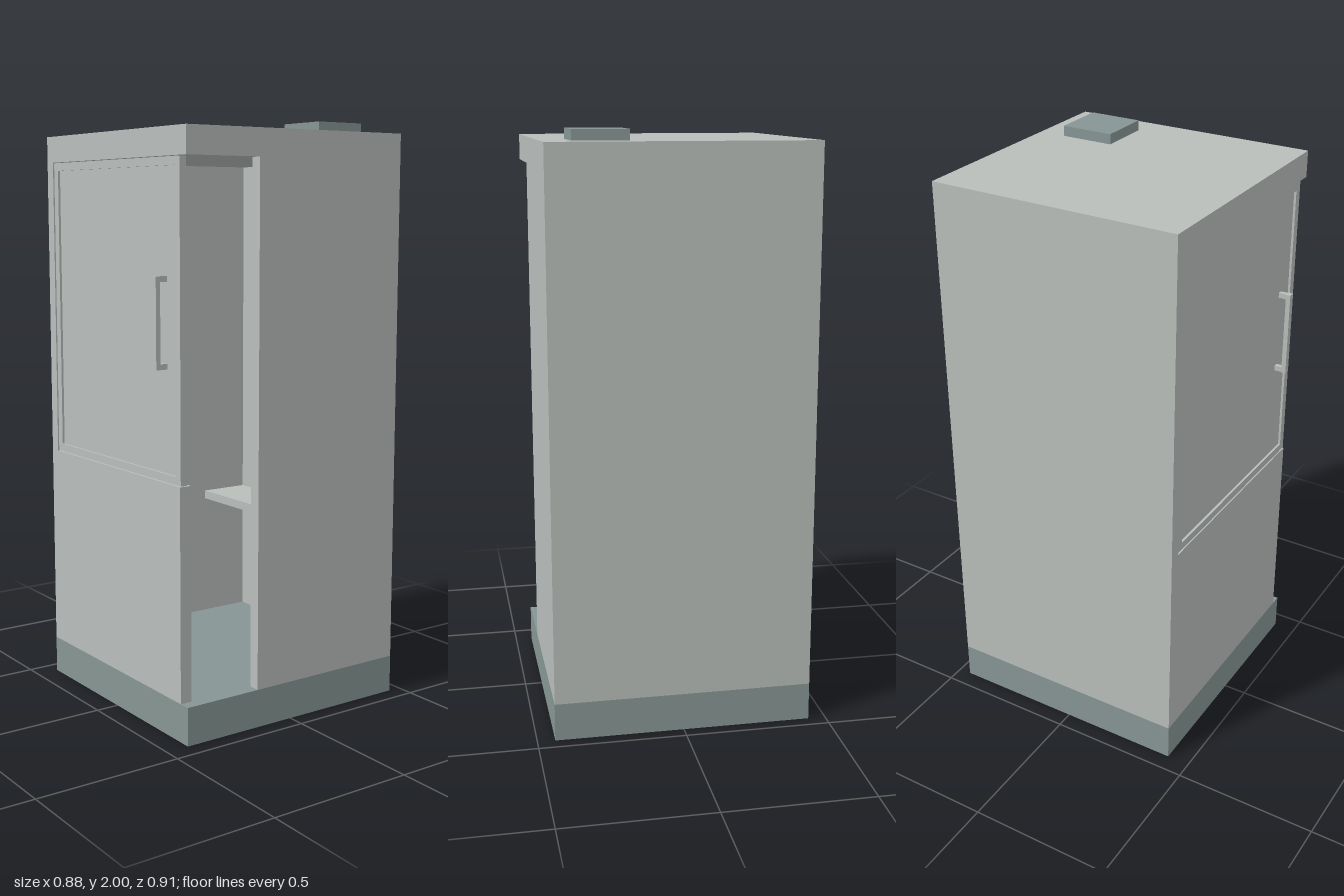
import * as THREE from 'three';

export function createModel() {
  const group = new THREE.Group();
  const grey = new THREE.MeshStandardMaterial({ color: 0xb9bebb });
  grey.name = 'panel grey';
  const slate = new THREE.MeshStandardMaterial({ color: 0x869694 });
  slate.name = 'slate grey';

  const add = (name, geometry, material, parent = group) => {
    const mesh = new THREE.Mesh(geometry, material);
    mesh.name = name;
    parent.add(mesh);
    return mesh;
  };
  // Box given by its minimum and maximum along each axis
  const box = (name, material, [x0, x1], [y0, y1], [z0, z1], parent = group) => {
    const mesh = add(name, new THREE.BoxGeometry(x1 - x0, y1 - y0, z1 - z0), material, parent);
    mesh.position.set((x0 + x1) / 2, (y0 + y1) / 2, (z0 + z1) / 2);
    return mesh;
  };

  // Cabin shell: plinth, walls, lower front and roof
  const wallY = [0.13, 1.875];
  box('plinth', slate, [-0.44, 0.44], [0, 0.13], [-0.455, 0.42]);
  box('roof', grey, [-0.44, 0.44], [1.875, 1.965], [-0.455, 0.42]);
  box('leftWall', grey, [-0.44, -0.4], wallY, [-0.455, 0.42]);
  box('rightWall', grey, [0.4, 0.44], wallY, [-0.455, 0.14]);
  box('backWall', grey, [-0.4, 0.4], wallY, [-0.455, -0.415]);
  box('lowerFrontPanel', grey, [-0.4, 0.4], [0.13, 0.845], [0.378, 0.42]);
  box('roofVent', slate, [0.16, 0.345], [1.965, 2], [-0.36, -0.175]);

  // Upper front door: a frame around a thinner pane
  const door = new THREE.Group();
  door.name = 'door';
  group.add(door);
  const outline = (Type, x0, x1, y0, y1) => {
    const path = new Type();
    path.moveTo(x0, y0).lineTo(x1, y0).lineTo(x1, y1).lineTo(x0, y1).closePath();
    return path;
  };
  const frame = new THREE.Shape();
  frame.moveTo(-0.397, 0.847);
  frame.lineTo(0.4, 0.847);
  frame.lineTo(0.4, 1.873);
  frame.lineTo(-0.397, 1.873);
  frame.closePath();
  const hole = new THREE.Path();
  hole.moveTo(-0.37, 0.874);
  hole.lineTo(-0.37, 1.846);
  hole.lineTo(0.373, 1.846);
  hole.lineTo(0.373, 0.874);
  hole.closePath();
  frame.holes.push(hole);
  const frameGeometry = new THREE.ExtrudeGeometry(frame, { depth: 0.024, bevelEnabled: false });
  add('doorFrame', frameGeometry, grey, door).position.z = 0.393;
  box('doorPane', grey, [-0.37, 0.373], [0.874, 1.846], [0.401, 0.409], door);

  // Pull handle on two short posts
  const handle = new THREE.Group();
  handle.name = 'handle';
  door.add(handle);
  box('handleBar', grey, [0.296, 0.318], [1.21, 1.505], [0.437, 0.453], handle);
  for (const y of [1.21, 1.487])
    box('handlePost', grey, [0.299, 0.315], [y, y + 0.018], [0.408, 0.438], handle);

  // Interior fittings on the back wall
  box('shelf', grey, [-0.4, 0.03], [0.585, 0.616], [-0.415, -0.23]);
  const peg = (name, radius, z0, z1) => {
    const mesh = add(name, new THREE.CylinderGeometry(radius, radius, z1 - z0, 20), grey);
    mesh.rotation.x = Math.PI / 2;
    mesh.position.set(0.02, 1.04, (z0 + z1) / 2);
  };
  peg('wallKnobStem', 0.02, -0.415, -0.36);
  peg('wallKnob', 0.03, -0.36, -0.33);

  return group;
}
